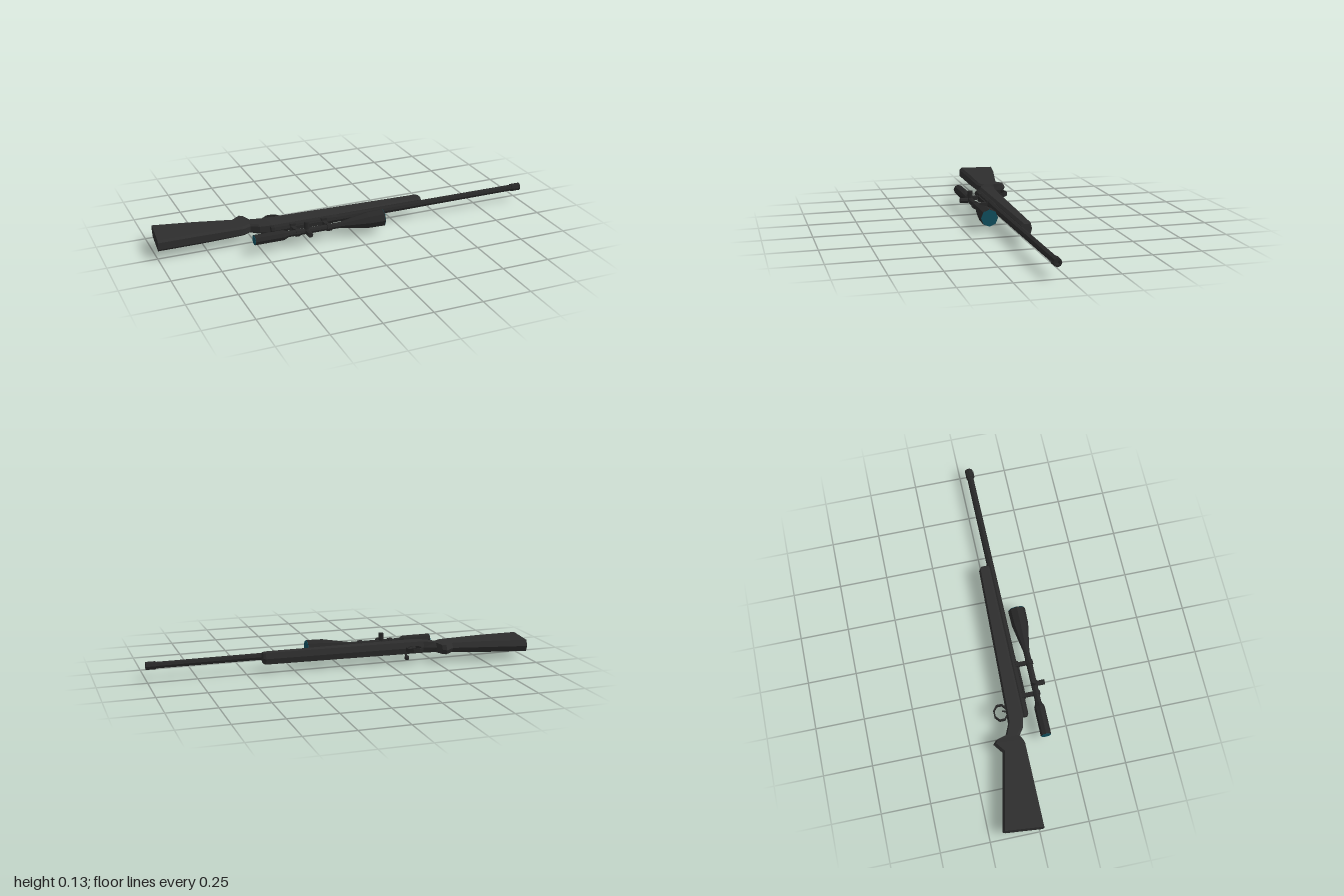
import * as THREE from 'three';

const Y = 0.075; // height of the long axis while the model lies on its side

export function createModel() {
  const root = new THREE.Group();
  const mat = (name, color) => {
    const m = new THREE.MeshStandardMaterial({ color, flatShading: true });
    m.name = name;
    return m;
  };
  const stockMat = mat('charcoal stock', 0x2d2d2d);
  const metalMat = mat('dark metal', 0x272727);
  const glassMat = mat('teal glass', 0x10505f);

  const add = (name, geo, material, x = 0, y = Y, z = 0) => {
    const m = new THREE.Mesh(geo, material);
    m.name = name;
    m.position.set(x, y, z);
    root.add(m);
    return m;
  };
  // Turned part along x from [x, radius] pairs
  const turned = (name, pts, z, sides = 8, material = metalMat) => {
    const geo = new THREE.LatheGeometry(pts.map(([x, r]) => new THREE.Vector2(r, x)), sides);
    geo.rotateX(0); geo.rotateZ(-Math.PI / 2);
    return add(name, geo, material, 0, Y, z);
  };
  // Straight rod between two points
  const rod = (name, a, b, r, sides = 8) => {
    const A = new THREE.Vector3(...a), B = new THREE.Vector3(...b);
    const d = B.clone().sub(A);
    const m = add(name, new THREE.CylinderGeometry(r, r, d.length(), sides), metalMat);
    m.position.copy(A).add(B).multiplyScalar(0.5);
    m.quaternion.setFromUnitVectors(new THREE.Vector3(0, 1, 0), d.normalize());
    return m;
  };

  // Stock: stations of [x at top, x at bottom, z top, z bottom, half width, bevel]
  const stations = [
    [-0.998, -0.978, 0.02, -0.185, 0.030, 0.014],
    [-0.78, -0.78, 0.02, -0.142, 0.030, 0.014],
    [-0.565, -0.59, 0.02, -0.1, 0.025, 0.012],
    [-0.55, -0.54, 0.016, -0.137, 0.025, 0.014],
    [-0.52, -0.522, 0.0, -0.122, 0.024, 0.013],
    [-0.48, -0.512, 0.028, -0.07, 0.026, 0.012],
    [-0.42, -0.45, 0.042, -0.042, 0.031, 0.008],
    [-0.2, -0.2, 0.042, -0.033, 0.031, 0.008],
    [0.40, 0.40, 0.042, -0.015, 0.030, 0.008],
    [0.412, 0.412, 0.04, -0.008, 0.027, 0.008],
  ];
  const rings = stations.map(([xt, xb, zt, zb, w, b]) => [
    [0, zb], [w, zb + b], [w, zt - 0.012], [w * 0.6, zt],
    [-w * 0.6, zt], [-w, zt - 0.012], [-w, zb + b],
  ].map(([y, z]) => [xb + (xt - xb) * (z - zb) / (zt - zb), y, z]));
  const pos = [];
  const tri = (...p) => p.forEach(v => pos.push(...v));
  const n = rings[0].length;
  for (let s = 0; s < rings.length - 1; s++) {
    for (let i = 0; i < n; i++) {
      const j = (i + 1) % n, a = rings[s], b = rings[s + 1];
      tri(a[i], a[j], b[i]);
      tri(a[j], b[j], b[i]);
    }
  }
  const first = rings[0], last = rings[rings.length - 1];
  for (let i = 1; i < n - 1; i++) {
    tri(first[0], first[i + 1], first[i]);
    tri(last[0], last[i], last[i + 1]);
  }
  const stockGeo = new THREE.BufferGeometry();
  stockGeo.setAttribute('position', new THREE.Float32BufferAttribute(pos, 3));
  stockGeo.computeVertexNormals();
  add('stock', stockGeo, stockMat);

  // Receiver, barrel and muzzle
  turned('receiver', [[-0.43, 0], [-0.43, 0.015], [-0.415, 0.022], [-0.1, 0.022], [-0.06, 0.019], [-0.06, 0]], 0.048);
  turned('barrel', [[-0.08, 0], [-0.08, 0.0195], [0.96, 0.017], [0.96, 0]], 0.05);
  turned('muzzle', [[0.95, 0], [0.95, 0.021], [1, 0.021], [1, 0.011], [0.98, 0.01], [0.98, 0]], 0.05);
  add('frontSight', new THREE.BoxGeometry(0.035, 0.006, 0.012), metalMat, 0.972, Y, 0.068);

  // Bolt handle with knob
  rod('boltHandle', [-0.37, 0.055, 0.045], [-0.37, 0.018, 0.006], 0.006, 6);
  add('boltKnob', new THREE.SphereGeometry(0.0135, 8, 6), metalMat, -0.37, 0.0135, 0.003);

  // Trigger guard and trigger
  const guard = new THREE.Shape();
  const hole = new THREE.Path();
  for (let i = 0; i < 8; i++) {
    const a = (i + 0.5) * Math.PI / 4, c = Math.cos(a), s = Math.sin(a);
    guard[i ? 'lineTo' : 'moveTo'](c * 0.046, s * 0.038);
    hole[i ? 'lineTo' : 'moveTo'](c * 0.038, s * 0.031);
  }
  guard.closePath();
  hole.closePath();
  guard.holes.push(hole);
  const guardGeo = new THREE.ExtrudeGeometry(guard, { depth: 0.022, bevelEnabled: false });
  guardGeo.translate(0, 0, -0.011);
  guardGeo.rotateX(Math.PI / 2);
  add('triggerGuard', guardGeo, metalMat, -0.385, Y, -0.066);
  rod('trigger', [-0.385, Y, -0.035], [-0.378, Y, -0.058], 0.004, 6);

  // Scope body
  const zs = 0.132;
  turned('scopeBody', [
    [-0.545, 0], [-0.545, 0.027], [-0.395, 0.027], [-0.37, 0.016], [-0.09, 0.016],
    [0.06, 0.043], [0.145, 0.045], [0.145, 0],
  ], zs);
  turned('frontLens', [[0.143, 0], [0.143, 0.044], [0.147, 0.044], [0.147, 0]], zs, 8, glassMat);
  turned('rearLens', [[-0.547, 0], [-0.547, 0.025], [-0.543, 0.025], [-0.543, 0]], zs, 8, glassMat);

  // Adjustment turrets
  rod('upperTurret', [-0.27, Y, zs], [-0.27, Y, 0.187], 0.014);
  rod('sideTurret', [-0.27, Y, zs], [-0.27, 0.126, zs], 0.014);

  // Mount rail, feet and rings
  add('mountRail', new THREE.BoxGeometry(0.2, 0.02, 0.008), metalMat, -0.235, Y, 0.073);
  for (const x of [-0.32, -0.152]) {
    turned('scopeRing', [[x - 0.011, 0], [x - 0.011, 0.021], [x + 0.011, 0.021], [x + 0.011, 0]], zs);
    add('mountFoot', new THREE.BoxGeometry(0.02, 0.02, 0.05), metalMat, x, Y, 0.093);
    add('mountClamp', new THREE.BoxGeometry(0.03, 0.046, 0.014), metalMat, x, Y, 0.066);
  }
  return root;
}
